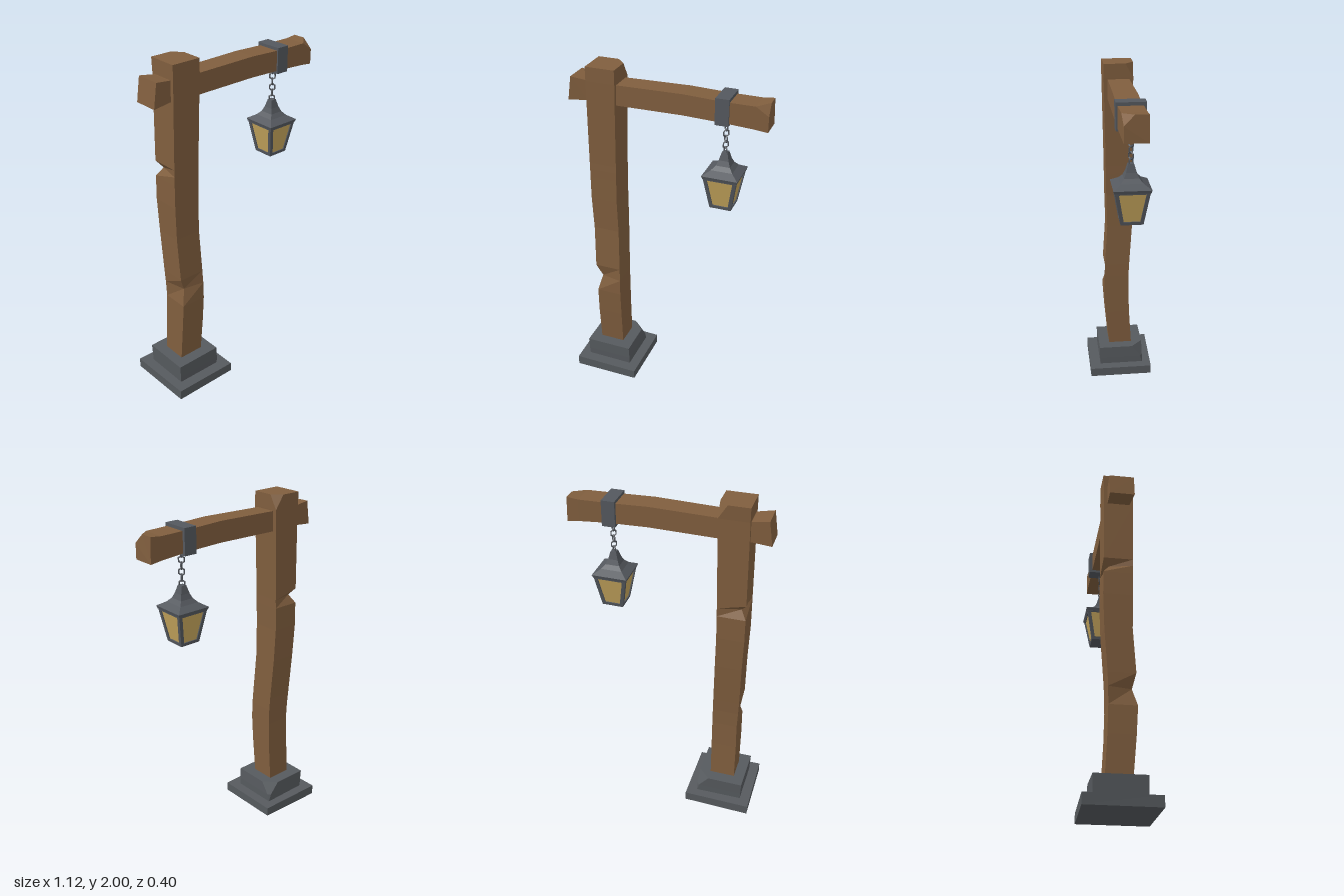
import * as THREE from 'three';

const mat = (name, color) => {
  const m = new THREE.MeshStandardMaterial({ color });
  m.name = name;
  return m;
};

// Flat-faced solid from a row of rings with equal point counts, capped at both ends
function loft(rings) {
  const pos = [];
  const tri = (a, b, c) => pos.push(...a, ...b, ...c);
  const n = rings[0].length;
  for (let r = 0; r < rings.length - 1; r++) {
    const a = rings[r], b = rings[r + 1];
    for (let i = 0; i < n; i++) {
      const j = (i + 1) % n;
      tri(a[i], a[j], b[j]);
      tri(a[i], b[j], b[i]);
    }
  }
  const first = rings[0], last = rings[rings.length - 1];
  for (let i = 1; i < n - 1; i++) {
    tri(first[0], first[i + 1], first[i]);
    tri(last[0], last[i], last[i + 1]);
  }
  const g = new THREE.BufferGeometry();
  g.setAttribute('position', new THREE.Float32BufferAttribute(pos, 3));
  g.computeVertexNormals();
  return g;
}

// Splits the third corner of a four-cornered ring to leave a chip
function chip(c, cut) {
  const toward = (p, q) => p.map((v, k) => {
    const d = q[k] - v;
    return v + Math.sign(d) * Math.min(Math.abs(d), cut);
  });
  return [c[0], c[1], toward(c[2], c[1]), toward(c[2], c[3]), c[3]];
}

// Horizontal ring; a dented corner is pulled toward the middle
function levelRing([y, x0, x1, z0, z1, cut = 0, dent = -1]) {
  const c = [[x0, y, z1], [x1, y, z1], [x1, y, z0], [x0, y, z0]];
  if (dent >= 0) {
    c[dent][0] += 0.03;
    c[dent][2] += dent === 0 ? -0.025 : 0.03;
  }
  return chip(c, cut);
}

// Square ring centred on the local y axis
const square = ([y, h]) => [[-h, y, h], [h, y, h], [h, y, -h], [-h, y, -h]];

export function createModel() {
  const model = new THREE.Group();
  const wood = mat('wood', 0x805e3e);
  const stone = mat('stone', 0x565a5e);
  const iron = mat('iron', 0x54585e);
  const glass = mat('amber glass', 0xc4a45c);

  const add = (name, geometry, material, parent = model) => {
    const m = new THREE.Mesh(geometry, material);
    m.name = name;
    parent.add(m);
    return m;
  };

  // Stepped stone foot
  add('baseSlab', loft([
    [[-0.555, 0, 0.2], [-0.163, 0, 0.2], [-0.163, 0, -0.19], [-0.56, 0, -0.2]],
    [[-0.555, 0.06, 0.2], [-0.163, 0.055, 0.2], [-0.163, 0.055, -0.19], [-0.562, 0.06, -0.2]],
  ]), stone);
  add('baseBlock', loft([
    [0.05, -0.5, -0.222, -0.14, 0.135],
    [0.1, -0.502, -0.222, -0.14, 0.137, 0.015],
    [0.172, -0.505, -0.225, -0.142, 0.137, 0.07],
  ].map(levelRing)), stone);

  // Crooked post with worn corners: y, x0, x1, z0, z1, cut, dented corner
  add('post', loft([
    [0.15, -0.442, -0.293, -0.075, 0.068],
    [0.4, -0.44, -0.288, -0.06, 0.09],
    [0.56, -0.436, -0.286, -0.055, 0.1],
    [0.66, -0.44, -0.286, -0.056, 0.098, 0, 0],
    [0.74, -0.443, -0.287, -0.06, 0.093],
    [1.0, -0.448, -0.292, -0.078, 0.076],
    [1.2, -0.454, -0.295, -0.085, 0.08],
    [1.34, -0.453, -0.292, -0.083, 0.081],
    [1.39, -0.452, -0.291, -0.082, 0.082, 0, 3],
    [1.43, -0.452, -0.29, -0.082, 0.082],
    [1.8, -0.447, -0.28, -0.08, 0.088],
    [1.92, -0.445, -0.276, -0.08, 0.09],
    [2.0, -0.445, -0.276, -0.084, 0.09, 0.05],
  ].map(levelRing)), wood);

  // Cross beam: x at bottom, x at top, y0, y1, z0, z1, cut
  add('beam', loft([
    [-0.56, -0.54, 1.795, 1.93, -0.062, 0.08],
    [-0.45, -0.45, 1.803, 1.916, -0.06, 0.068],
    [-0.28, -0.28, 1.797, 1.912, -0.057, 0.068],
    [0.1, 0.1, 1.803, 1.92, -0.056, 0.074],
    [0.32, 0.32, 1.797, 1.912, -0.057, 0.076],
    [0.49, 0.49, 1.785, 1.91, -0.06, 0.07],
    [0.56, 0.555, 1.776, 1.917, -0.06, 0.066, 0.055],
  ].map(([xb, xt, y0, y1, z0, z1, cut = 0]) =>
    chip([[xb, y0, z0], [xt, y1, z0], [xt, y1, z1], [xb, y0, z1]], cut))), wood);

  // Iron band around the beam
  const band = add('beamBand', new THREE.BoxGeometry(0.075, 0.147, 0.158), iron);
  band.position.set(0.318, 1.856, 0.005);

  // Hanging lantern
  const lantern = new THREE.Group();
  lantern.name = 'lantern';
  lantern.position.set(0.322, 0, 0.003);
  model.add(lantern);

  // Chain links, turned alternately
  const link = new THREE.TorusGeometry(0.017, 0.0045, 4, 6).toNonIndexed();
  link.rotateZ(Math.PI / 6);
  link.scale(1, 1.2, 1);
  link.computeVertexNormals();
  for (let i = 0; i < 6; i++) {
    const l = add('chainLink', link, iron, lantern);
    l.position.y = 1.61 + i * 0.033;
    l.rotation.y = (i % 2 ? 1 : -1) * Math.PI / 4;
  }

  // Flared cap with a thin rim
  add('lanternCap', loft([
    [1.467, 0.096], [1.483, 0.101], [1.508, 0.06], [1.53, 0.04], [1.558, 0.028], [1.602, 0.016],
  ].map(square)), iron, lantern);

  // Glass body, floor plate and four slanted corner bars
  add('lanternGlass', loft([[1.29, 0.056], [1.468, 0.087]].map(square)), glass, lantern);
  add('lanternFloor', loft([[1.28, 0.061], [1.298, 0.064]].map(square)), iron, lantern);
  const bar = loft([[1.285, 0.062], [1.47, 0.094]].map(([y, h]) => {
    const k = h - 0.02;
    return [[k, y, h], [h, y, h], [h, y, k], [k, y, k]];
  }));
  const topRail = loft([[1.459, 0.0925], [1.469, 0.094]].map(square));
  add('lanternTopRail', topRail, iron, lantern);
  for (let i = 0; i < 4; i++) {
    add('lanternBar', bar, iron, lantern).rotation.y = i * Math.PI / 2;
  }

  return model;
}
